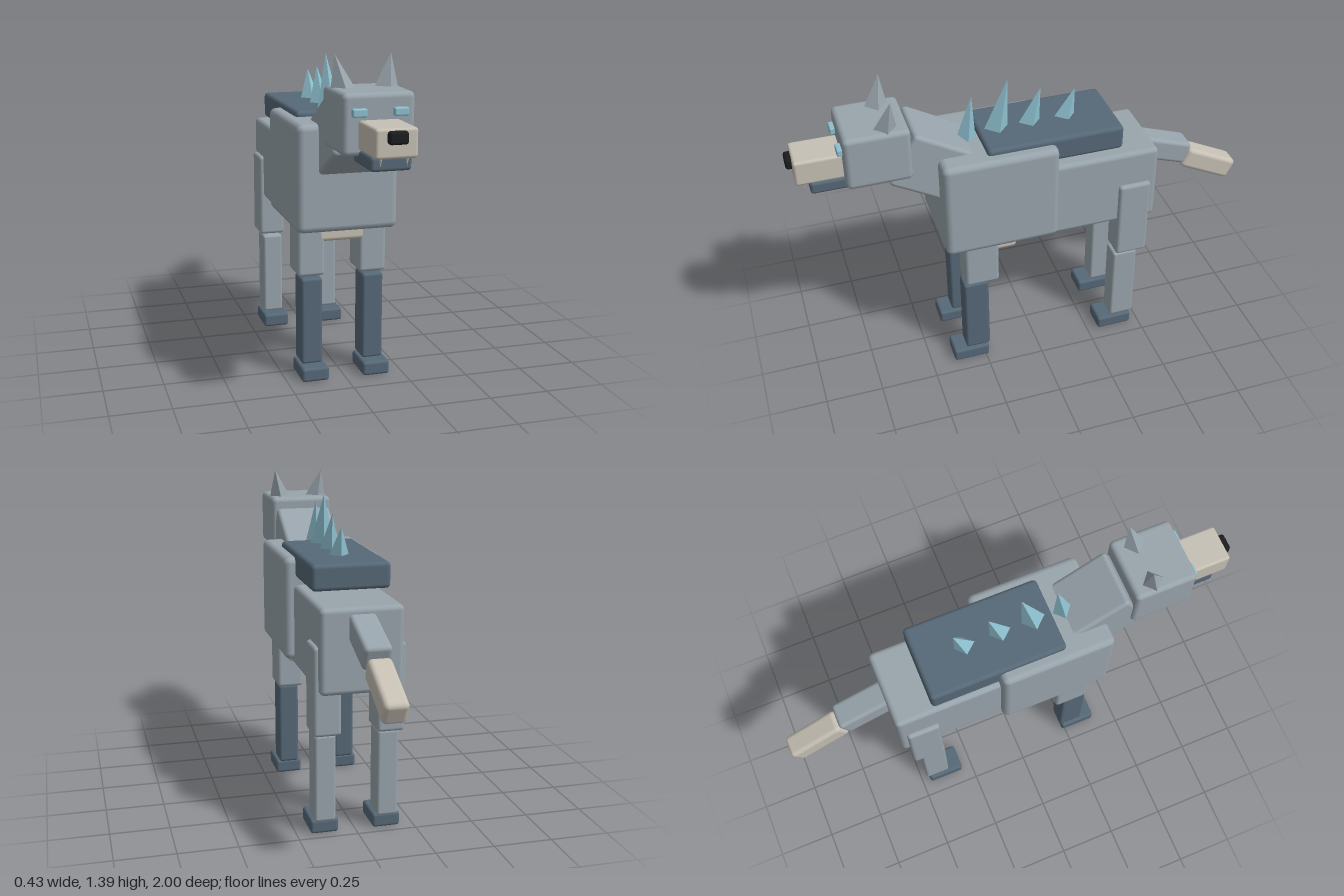
import * as THREE from 'three';
import { RoundedBoxGeometry } from 'three/addons/geometries/RoundedBoxGeometry.js';

const paint = (name, color, extra = {}) => Object.assign(new THREE.MeshStandardMaterial({ color, ...extra }), { name });

export function createModel() {
  const model = new THREE.Group();
  model.name = 'armouredWolf';
  const fur = paint('greyFur', 0x98a4ac);
  const slate = paint('slateBlue', 0x566877);
  const cream = paint('cream', 0xc6c0b4);
  const black = paint('noseBlack', 0x1b1c1e);
  const ice = paint('iceBlue', 0x8dc0cf);

  // Bevelled block from its centre and size, optionally pitched about x
  function block(name, mat, [x, y, z], [w, h, d], r = 0.015, pitch = 0) {
    const mesh = new THREE.Mesh(new RoundedBoxGeometry(w, h, d, 2, r), mat);
    mesh.name = name;
    mesh.position.set(x, y, z);
    mesh.rotation.x = pitch;
    model.add(mesh);
    return mesh;
  }

  // Four-sided spike running from its base centre to its tip
  function spike(name, mat, base, tip, radius) {
    const a = new THREE.Vector3(...base), b = new THREE.Vector3(...tip);
    const dir = b.clone().sub(a);
    const geo = new THREE.ConeGeometry(radius, dir.length(), 4).toNonIndexed();
    geo.computeVertexNormals();
    const mesh = new THREE.Mesh(geo, mat);
    mesh.name = name;
    mesh.position.copy(a).add(b).multiplyScalar(0.5);
    mesh.quaternion.setFromUnitVectors(new THREE.Vector3(0, 1, 0), dir.normalize());
    model.add(mesh);
  }

  // Body
  block('chest', fur, [0, 0.868, 0.163], [0.425, 0.447, 0.495], 0.028);
  block('hindBody', fur, [0, 0.797, -0.275], [0.345, 0.355, 0.54], 0.022);
  block('belly', cream, [0, 0.63, 0.21], [0.32, 0.09, 0.24], 0.018);
  block('backPlate', slate, [0, 1.06, -0.085], [0.33, 0.11, 0.59], 0.018);
  block('neck', fur, [0, 1.03, 0.405], [0.25, 0.25, 0.34], 0.018, -Math.PI / 6);

  // Head
  block('head', fur, [0, 1.147, 0.647], [0.28, 0.235, 0.27], 0.022);
  block('snout', cream, [0, 1.11, 0.865], [0.16, 0.11, 0.22], 0.012);
  block('nose', black, [0, 1.133, 0.98], [0.074, 0.048, 0.04], 0.012);
  block('jaw', slate, [0, 1.027, 0.815], [0.155, 0.055, 0.21], 0.013);

  // Back spikes, as base y, base z, tip y, tip z, radius
  [
    [1.07, 0.262, 1.285, 0.23, 0.046],
    [1.09, 0.132, 1.337, 0.075, 0.055],
    [1.09, -0.012, 1.268, -0.065, 0.05],
    [1.09, -0.168, 1.238, -0.215, 0.05],
  ].forEach(([y0, z0, y1, z1, r], i) => spike('backSpike' + (i + 1), ice, [0, y0, z0], [0, y1, z1], r));

  for (const s of [1, -1]) {
    const side = s > 0 ? 'left' : 'right';
    // Face details
    spike(side + 'Ear', fur, [s * 0.084, 1.235, 0.607], [s * 0.112, 1.387, 0.58], 0.056);
    block(side + 'Eye', ice, [s * 0.08, 1.194, 0.788], [0.056, 0.031, 0.03], 0.006);
    spike(side + 'Fang', cream, [s * 0.05, 1.065, 0.94], [s * 0.05, 1.022, 0.942], 0.009);

    // Front leg
    block(side + 'FrontThigh', fur, [s * 0.133, 0.56, 0.255], [0.116, 0.24, 0.15]);
    block(side + 'FrontShin', slate, [s * 0.133, 0.245, 0.281], [0.09, 0.376, 0.112], 0.012);
    block(side + 'FrontPaw', slate, [s * 0.133, 0.03, 0.316], [0.117, 0.06, 0.162], 0.012);

    // Hind leg
    block(side + 'HindThigh', fur, [s * 0.133, 0.627, -0.44], [0.116, 0.375, 0.144]);
    block(side + 'HindShin', fur, [s * 0.133, 0.245, -0.418], [0.09, 0.376, 0.112], 0.012);
    block(side + 'HindPaw', slate, [s * 0.133, 0.03, -0.38], [0.117, 0.06, 0.162], 0.012);
  }

  // Tail
  block('tailBase', fur, [0, 0.865, -0.62], [0.112, 0.105, 0.27], 0.018, -0.34);
  block('tailTip', cream, [0, 0.735, -0.862], [0.098, 0.098, 0.265], 0.02, -0.46);

  return model;
}
